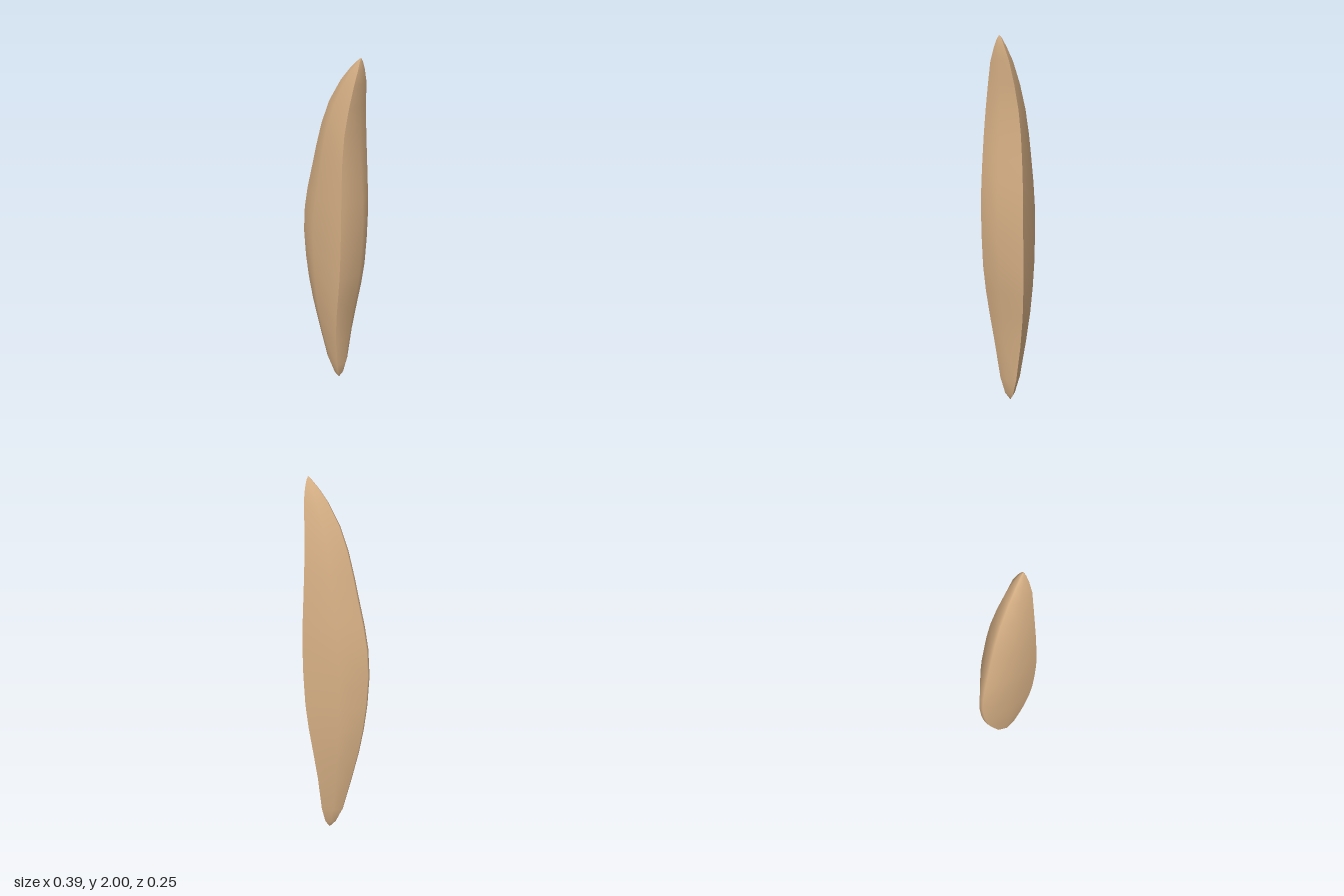
import * as THREE from 'three';

// Stations from base to tip: y, left rim x, crease x, right ridge x, half depth
const stations = [
  [0.00, 0.042, 0.042, 0.042, 0],
  [0.04, 0.005, 0.058, 0.066, 0.025],
  [0.13, -0.04, 0.068, 0.089, 0.05],
  [0.33, -0.095, 0.077, 0.112, 0.08],
  [0.50, -0.138, 0.095, 0.134, 0.102],
  [0.64, -0.165, 0.114, 0.158, 0.115],
  [0.78, -0.184, 0.129, 0.177, 0.123],
  [0.95, -0.195, 0.138, 0.19, 0.126],
  [1.10, -0.186, 0.141, 0.193, 0.127],
  [1.23, -0.163, 0.14, 0.189, 0.124],
  [1.36, -0.132, 0.137, 0.179, 0.118],
  [1.49, -0.102, 0.135, 0.17, 0.11],
  [1.62, -0.068, 0.137, 0.165, 0.097],
  [1.75, -0.02, 0.147, 0.165, 0.077],
  [1.87, 0.048, 0.161, 0.173, 0.054],
  [1.94, 0.102, 0.166, 0.174, 0.03],
  [1.98, 0.14, 0.165, 0.17, 0.014],
  [2.00, 0.163, 0.163, 0.163, 0],
];

// Skin a sheet through rows of points, ordered so the outside faces out
function loft(rows) {
  const n = rows[0].length;
  const index = [];
  for (let r = 0; r < rows.length - 1; r++) {
    for (let i = 0; i < n - 1; i++) {
      const a = r * n + i, b = a + 1, c = a + n, d = c + 1;
      if (r < rows.length - 2) index.push(a, c, d);
      if (r > 0) index.push(a, d, b);
      // fan triangles at the two pointed ends
      if (r === 0) continue;
      if (r === rows.length - 2) continue;
    }
  }
  const geometry = new THREE.BufferGeometry();
  geometry.setAttribute('position', new THREE.Float32BufferAttribute(rows.flat(2), 3));
  geometry.setIndex(index);
  geometry.computeVertexNormals();
  return geometry;
}

export function createModel() {
  const tan = new THREE.MeshStandardMaterial({ color: 0xd8b186 });
  tan.name = 'warm tan';
  const group = new THREE.Group();
  group.name = 'slice';

  // Rounded outer skin: front crease, round the thin left rim, to back crease
  const skinRows = stations.map(([y, left, crease, , depth]) => {
    const middle = left + (crease - left) * 0.39;
    const front = [[crease, y, depth], [middle, y, depth * 0.78], [left, y, depth * 0.09]];
    const back = front.map(([x, , z]) => [x, y, -z]).reverse();
    return [...front, ...back];
  });

  // Shallow ridged face on the right, with hard edges against the skin
  const faceRows = stations.map(([y, , crease, right, depth]) => [
    [crease, y, -depth], [right, y, 0], [crease, y, depth],
  ]);

  for (const [name, rows] of [['outerSkin', skinRows], ['ridgedFace', faceRows]]) {
    const mesh = new THREE.Mesh(loft(rows), tan);
    mesh.name = name;
    group.add(mesh);
  }
  return group;
}
